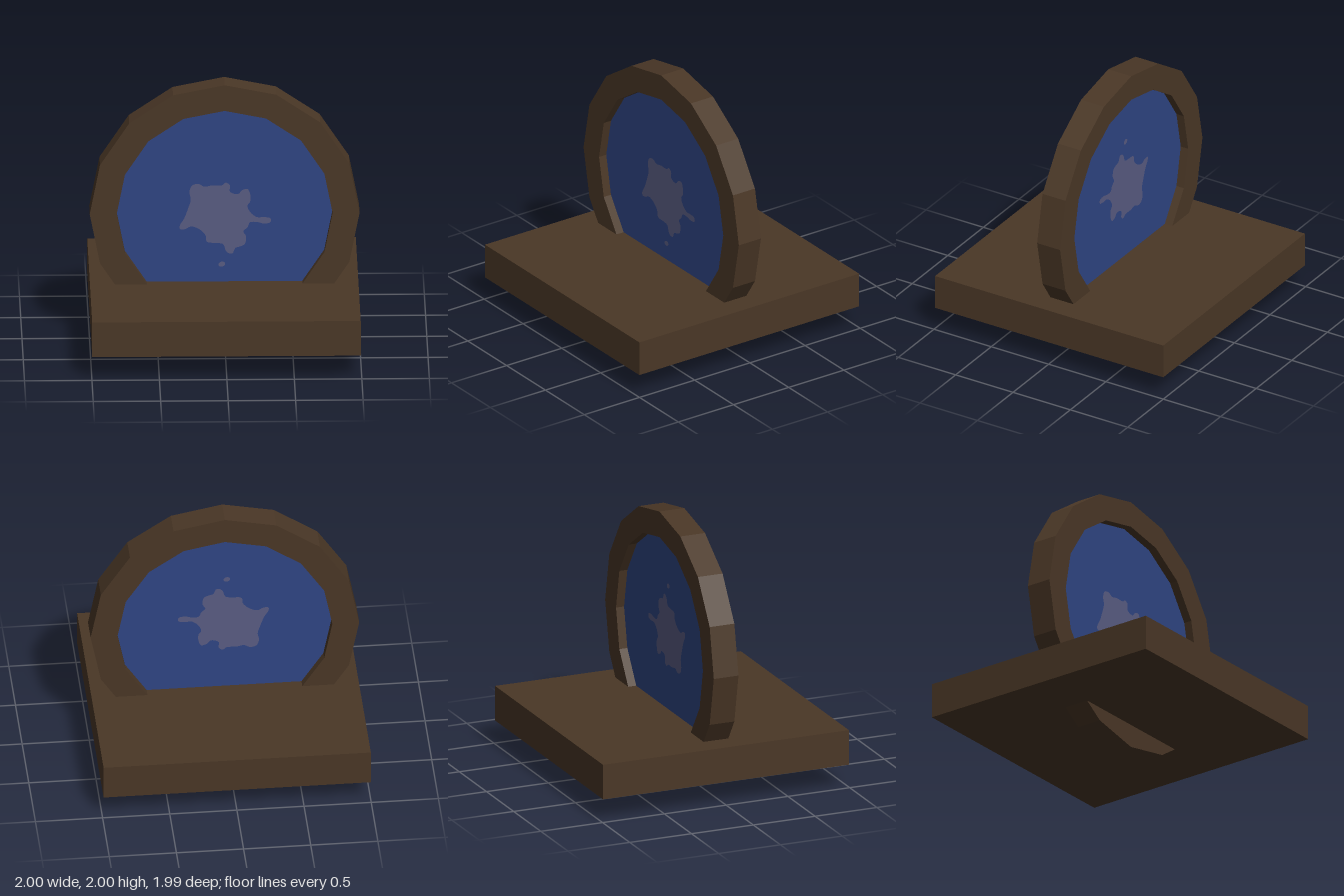
import * as THREE from 'three';

const SIDES = 16, CENTRE_Y = 1, PANE = 0.035;

// outline of the pale patch, in hundredths around the pane's centre
const PATCH = [
  -26, 15, -24, 20, -19, 21, -15, 19, -9, 20, -2, 20, 1, 22, 4, 20, 4, 15, 10, 13, 13, 16,
  17, 17, 19, 13, 19, 7, 17, 4, 19, -1, 24, -5, 29, -5, 34, -6, 34, -9, 29, -10, 25, -9,
  19, -9, 17, -13, 14, -16, 16, -20, 15, -26, 11, -28, 8, -29, 6, -33, 3, -33, 1, -31,
  -1, -26, -5, -25, -13, -24, -14, -19, -19, -14, -25, -12, -29, -14, -33, -14, -33, -11,
  -30, -6, -27, 2, -25, 9,
];

function polygon(radius) {
  return Array.from({ length: SIDES }, (_, i) => {
    const a = (i / SIDES) * Math.PI * 2;
    return new THREE.Vector2(Math.cos(a) * radius, Math.sin(a) * radius);
  });
}

function extrude(shape, depth) {
  const g = new THREE.ExtrudeGeometry(shape, { depth, bevelEnabled: false });
  return g.translate(0, 0, -depth / 2);
}

export function createModel() {
  const model = new THREE.Group();
  const wood = new THREE.MeshStandardMaterial({ name: 'dark wood', color: 0x4a3726 });
  const blue = new THREE.MeshStandardMaterial({ name: 'deep blue', color: 0x2f4583 });
  const pale = new THREE.MeshStandardMaterial({ name: 'pale grey blue', color: 0x595c82 });

  const add = (parent, name, geometry, material) => {
    const mesh = new THREE.Mesh(geometry, material);
    mesh.name = name;
    parent.add(mesh);
    return mesh;
  };

  // square base slab
  add(model, 'base', new THREE.BoxGeometry(1.99, 0.27, 1.99), wood).position.set(-0.003, 0.315, 0);

  // upright wheel, its lowest part poking through the base
  const wheel = new THREE.Group();
  wheel.name = 'wheel';
  wheel.position.y = CENTRE_Y;
  model.add(wheel);

  const ring = new THREE.Shape(polygon(1));
  ring.holes.push(new THREE.Path(polygon(0.8)));
  add(wheel, 'ring', extrude(ring, 0.2), wood);
  add(wheel, 'pane', extrude(new THREE.Shape(polygon(0.8)), PANE * 2), blue);

  // patch and droplet painted on both faces, the back one turned about x
  const points = [];
  for (let i = 0; i < PATCH.length; i += 2) {
    points.push(new THREE.Vector3(PATCH[i] / 100, PATCH[i + 1] / 100, 0));
  }
  const outline = new THREE.CatmullRomCurve3(points, true).getPoints(176).slice(0, -1);
  const patch = new THREE.ShapeGeometry(new THREE.Shape(outline.map((p) => new THREE.Vector2(p.x, p.y))));
  const droplet = new THREE.CircleGeometry(0.025, 16).scale(1, 0.8, 1).rotateZ(0.3).translate(-0.02, -0.415, 0);

  for (const [side, turn] of [['front', 0], ['back', Math.PI]]) {
    const stain = new THREE.Group();
    stain.name = side + 'Stain';
    stain.rotation.x = turn;
    wheel.add(stain);
    add(stain, side + 'Patch', patch, pale).position.z = PANE + 0.003;
    add(stain, side + 'Droplet', droplet, pale).position.z = PANE + 0.003;
  }
  return model;
}
